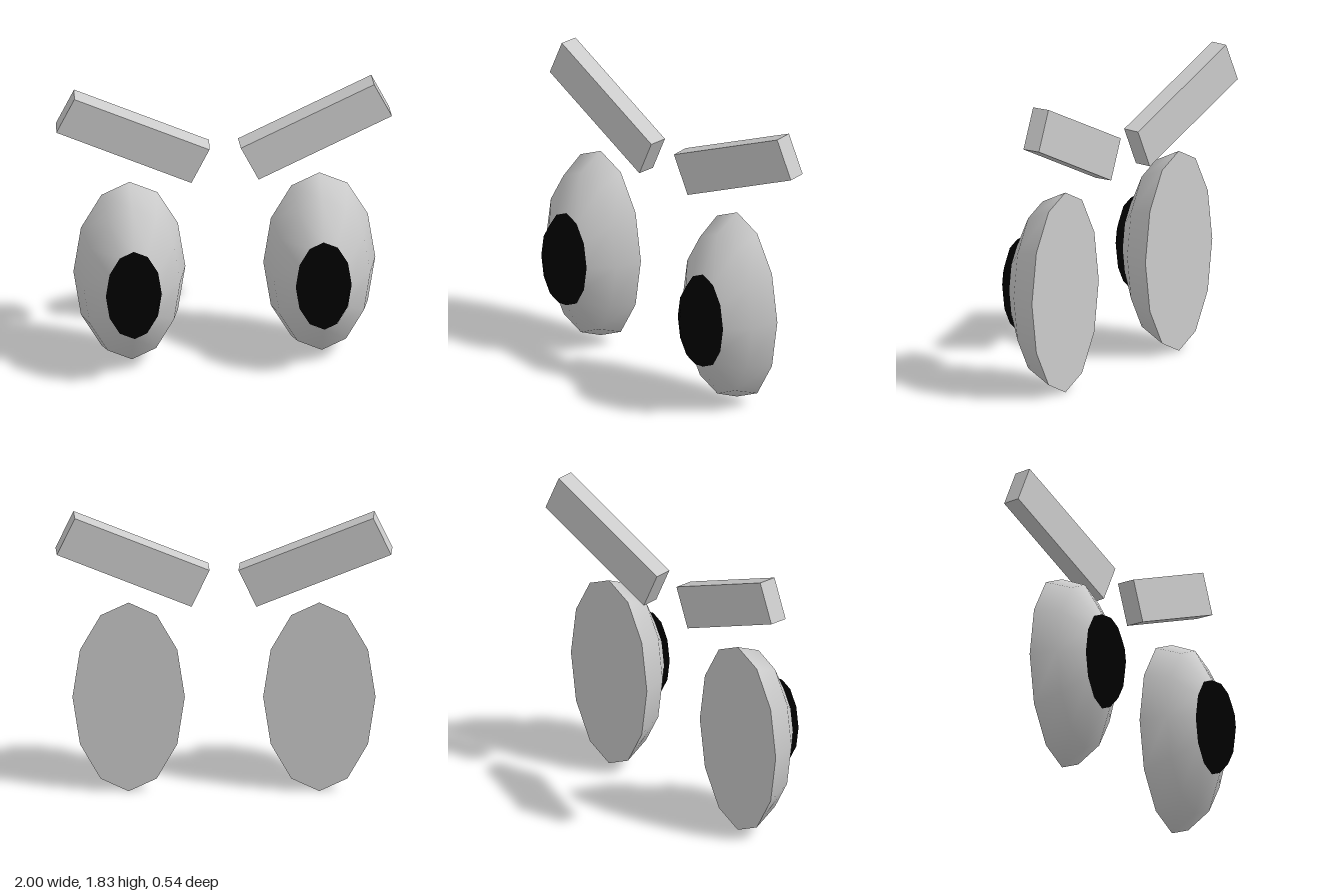
import * as THREE from 'three';

const grey = new THREE.MeshStandardMaterial({ color: 0xcccccc });
const black = new THREE.MeshStandardMaterial({ color: 0x000000 });

const SIDES = 12;
const EYE_Y = 0.615;

// Dome facing +z with a ring of vertices every 30 degrees, up to the given ring
function dome(rx, ry, depth, lastRing) {
  const profile = [];
  for (let i = 0; i <= lastRing; i++) {
    const a = (i * Math.PI) / 6;
    profile.push(new THREE.Vector2(i === 3 ? 0 : Math.cos(a), Math.sin(a)));
  }
  return new THREE.LatheGeometry(profile, SIDES).rotateX(Math.PI / 2).scale(rx, ry, depth);
}

function add(parent, name, geometry, material, z = 0) {
  const mesh = new THREE.Mesh(geometry, material);
  mesh.name = name;
  mesh.position.z = z;
  parent.add(mesh);
  return mesh;
}

export function createModel() {
  const model = new THREE.Group();
  model.name = 'eyesWithBrows';

  for (const [side, s] of [['left', 1], ['right', -1]]) {
    // Eye: truncated white dome, flat back, black pupil cap
    const eye = new THREE.Group();
    eye.name = `${side}Eye`;
    eye.position.set(s * 0.565, EYE_Y, -0.152);
    add(eye, `${side}Eyeball`, dome(0.333, EYE_Y, 0.335, 2), grey);
    add(eye, `${side}EyeBack`,
      new THREE.CircleGeometry(1, SIDES).rotateY(Math.PI).scale(0.333, EYE_Y, 1), grey);
    add(eye, `${side}Pupil`, dome(0.1665, EYE_Y / 2, 0.132, 3), black, 0.29);
    model.add(eye);

    // Brow: slanted bar, turned slightly outward
    const brow = add(model, `${side}Brow`, new THREE.BoxGeometry(0.88, 0.257, 0.108), grey);
    brow.position.set(s * 0.542, 1.53, -0.185);
    brow.rotation.set(0, s * 0.073, s * 0.428, 'YXZ');
  }
  return model;
}
